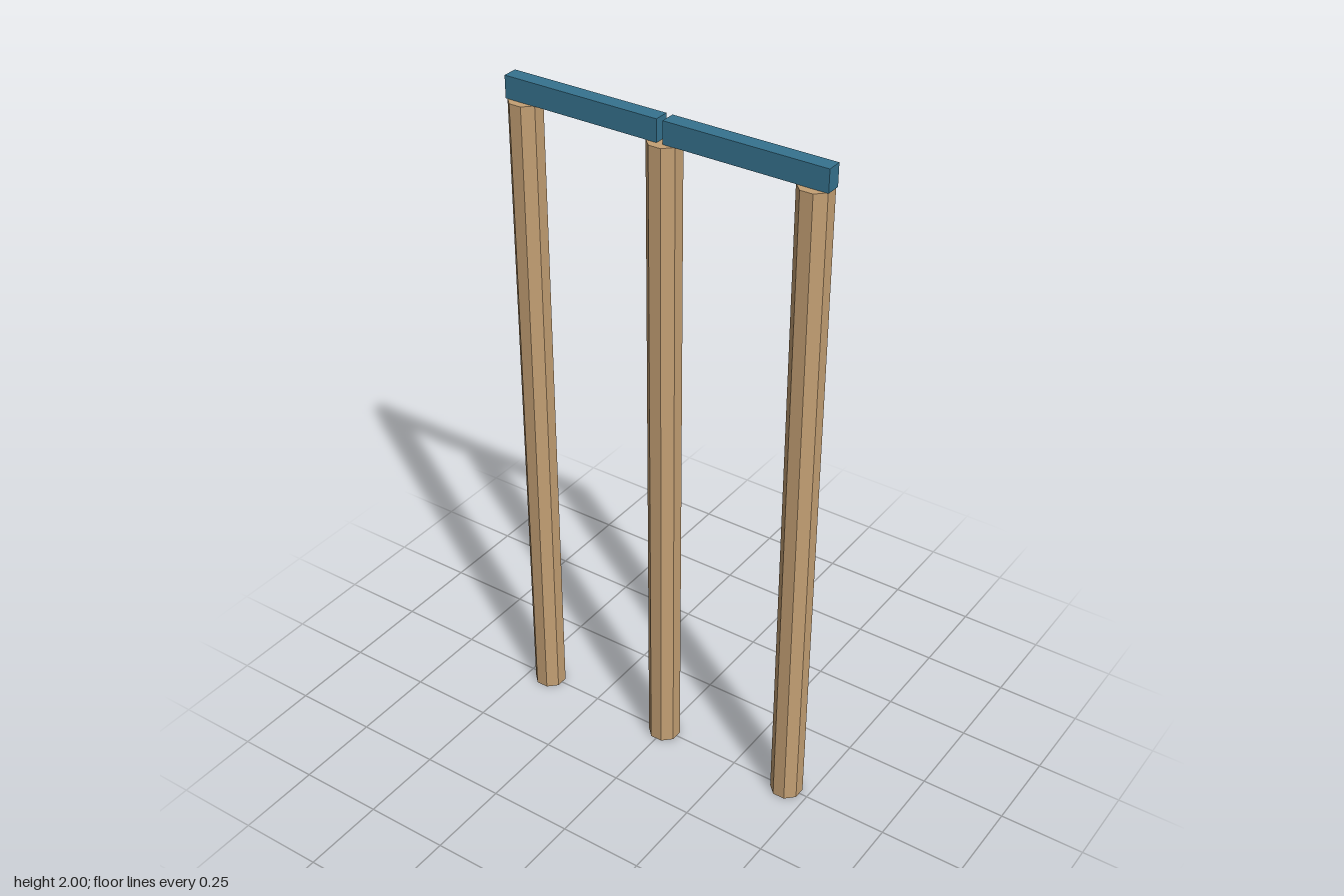
import * as THREE from 'three';

const HEIGHT = 2;
const POST_HEIGHT = 1.937;

export function createModel() {
  const model = new THREE.Group();
  model.name = 'postFrame';

  const wood = new THREE.MeshStandardMaterial({ color: 0xc4a074, flatShading: true });
  const blue = new THREE.MeshStandardMaterial({ color: 0x36738f, flatShading: true });

  // Three octagonal posts with a flat side facing forward
  const postGeometry = new THREE.CylinderGeometry(0.0475, 0.0475, POST_HEIGHT, 8);
  postGeometry.rotateY(Math.PI / 8);
  const posts = [['rightPost', -0.431], ['middlePost', 0], ['leftPost', 0.431]];
  for (const [name, x] of posts) {
    const post = new THREE.Mesh(postGeometry, wood);
    post.name = name;
    post.position.set(x, POST_HEIGHT / 2, 0);
    model.add(post);
  }

  // Two top beams with a narrow gap over the middle post
  const beamGeometry = new THREE.BoxGeometry(0.469, HEIGHT - POST_HEIGHT, 0.043);
  for (const [name, side] of [['rightBeam', -1], ['leftBeam', 1]]) {
    const beam = new THREE.Mesh(beamGeometry, blue);
    beam.name = name;
    beam.position.set(side * 0.2435, (HEIGHT + POST_HEIGHT) / 2, 0);
    model.add(beam);
  }

  return model;
}
